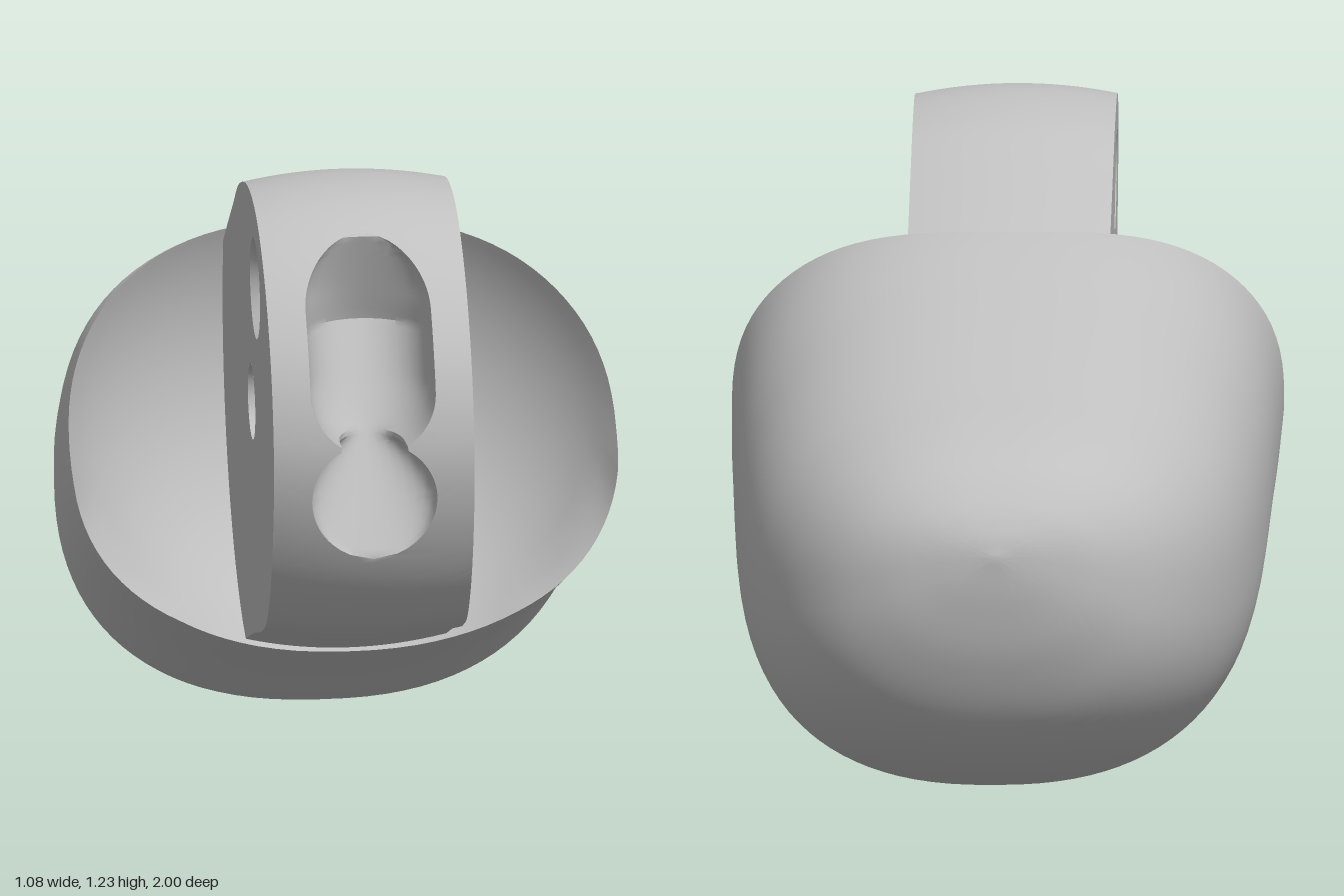
import * as THREE from 'three';
import { toCreasedNormals } from 'three/addons/utils/BufferGeometryUtils.js';

const W = 0.197; // half width of the hinge tongue

// slight twist of the whole part
function skew(geo) {
  const p = geo.attributes.position;
  for (let i = 0; i < p.count; i++) {
    p.setX(i, p.getX(i) + 0.01 - 0.04 * p.getZ(i) - 0.02 * p.getY(i));
  }
  return geo;
}

// surface from a grid of points f(i, j)
function grid(nu, nv, f) {
  const pos = [], idx = [];
  for (let i = 0; i <= nu; i++) for (let j = 0; j <= nv; j++) pos.push(...f(i, j));
  for (let i = 0; i < nu; i++) {
    for (let j = 0; j < nv; j++) {
      const a = i * (nv + 1) + j, b = a + nv + 1;
      idx.push(a, b, a + 1, b, b + 1, a + 1);
    }
  }
  const geo = new THREE.BufferGeometry();
  geo.setAttribute('position', new THREE.Float32BufferAttribute(pos, 3));
  geo.setIndex(idx);
  return geo;
}

// fingertip body sections: z, top, bottom, half width
const sections = [
  [-1, 0.52, 0.52, 0], [-0.985, 0.57, 0.42, 0.11], [-0.95, 0.625, 0.3, 0.22],
  [-0.88, 0.69, 0.175, 0.32], [-0.77, 0.745, 0.085, 0.4], [-0.62, 0.8, 0.025, 0.46],
  [-0.45, 0.865, 0.003, 0.495], [-0.25, 0.94, 0.02, 0.515], [0, 1.03, 0.125, 0.528],
  [0.2, 1.06, 0.195, 0.535], [0.5, 1.08, 0.3, 0.54],
];
const heights = new THREE.CatmullRomCurve3(
  sections.map(([z, t, b]) => new THREE.Vector3(z, t, b)), false, 'catmullrom');
const widths = new THREE.CatmullRomCurve3(
  sections.map(([z, , , w]) => new THREE.Vector3(z, w, 0)), false, 'catmullrom');

function bodyPoint(u, angle) {
  const h = heights.getPoint(u), w = widths.getPoint(u).y;
  const c = Math.cos(angle), s = -Math.sin(angle), e = 2 / 2.4;
  return [
    w * Math.sign(c) * Math.abs(c) ** e,
    (h.y + h.z) / 2 + (h.y - h.z) / 2 * Math.sign(s) * Math.abs(s) ** e,
    h.x,
  ];
}

// spherical socket that hollows the front of the body
function socketZ(x, y) {
  return Math.min(0.37, 0.487 - Math.sqrt(Math.max(0, 0.328 - x * x - (y - 0.766) ** 2)));
}

// width and floor of the cable slot in the tongue's front
function slotHalf(y) {
  const lobe = (lo, hi) => {
    const d = y < lo ? lo - y : y > hi ? y - hi : 0;
    return Math.sqrt(Math.max(0, 0.123 ** 2 - d * d));
  };
  return Math.max(lobe(0.667, 0.667), lobe(0.885, 1.04));
}
function slotFloor(y) {
  return y < 0.98 ? 0.93 - 0.21 * (y - 0.54) / 0.44 : 0.72 + 0.08 * (y - 0.98) / 0.185;
}

export function createModel() {
  const model = new THREE.Group();
  const grey = new THREE.MeshStandardMaterial({ color: 0xbfbfbf, side: THREE.DoubleSide });
  grey.name = 'grey plastic';
  const add = (name, geo, crease = 0.6) => {
    const mesh = new THREE.Mesh(toCreasedNormals(skew(geo), crease), grey);
    mesh.name = name;
    model.add(mesh);
  };

  // body: each lengthwise line runs from the tip to the socket's edge
  const AROUND = 96, ALONG = 60, ends = [];
  const angleOf = (j) => (j % AROUND) / AROUND * Math.PI * 2;
  for (let j = 0; j <= AROUND; j++) {
    let lo = 0.5, hi = 1;
    for (let k = 0; k < 30; k++) {
      const mid = (lo + hi) / 2, [x, y, z] = bodyPoint(mid, angleOf(j));
      if (z < socketZ(x, y)) lo = mid; else hi = mid;
    }
    ends.push(lo);
  }
  add('fingertipBody', grid(ALONG, AROUND, (i, j) => bodyPoint(ends[j] * i / ALONG, angleOf(j))), 0.9);
  add('knuckleSocket', grid(20, AROUND, (i, j) => {
    const [ex, ey] = bodyPoint(ends[j], angleOf(j)), k = 1 - i / 20;
    const x = ex * k, y = 0.75 + (ey - 0.75) * k;
    return [x, y, socketZ(x, y)];
  }), 0.9);

  // tongue outline in z, y, from the buried top round the front to the buried underside
  const outline = new THREE.SplineCurve([
    [-0.15, 0.93], [0.02, 1.025], [0.2, 1.12], [0.35, 1.195], [0.54, 1.23], [0.72, 1.2],
    [0.87, 1.1], [0.97, 0.95], [1, 0.79], [0.97, 0.64], [0.89, 0.49], [0.78, 0.38],
    [0.66, 0.33], [0.5, 0.293], [0.34, 0.25], [0.1, 0.18],
  ].map(([z, y]) => new THREE.Vector2(z, y)));
  const ROWS = 240;
  const rim = [];
  for (let i = 0; i <= ROWS; i++) {
    const p = outline.getPoint(i / ROWS), t = outline.getTangent(i / ROWS);
    rim.push({ z: p.x, y: p.y, nz: -t.y, ny: t.x });
  }
  const rimAt = (r, x) => {
    const inset = 0.02 * (x / W) ** 2; // crowned rim
    return [x, r.y - r.ny * inset, r.z - r.nz * inset];
  };

  // crowned rim with the slot sunk into its front
  add('tongueRim', grid(ROWS, 32, (i, j) => {
    const r = rim[i], h = r.z > 0.7 ? slotHalf(r.y) : 0;
    if (j <= 8) return rimAt(r, -W + (W - h) * j / 8);
    if (j >= 24) return rimAt(r, h + (W - h) * (j - 24) / 8);
    const a = (j - 8) / 16 * Math.PI;
    const p = rimAt(r, -h * Math.cos(a));
    if (h > 0) p[2] -= Math.max(0, p[2] - slotFloor(r.y)) * Math.sin(a) ** 0.6;
    return p;
  }));

  // flat sides with pin holes
  const pin = { z: 0.53, y: 0.78, r: 0.075 }, cord = { z: 0.65, y: 1.03, r: 0.055 };
  for (const side of [-1, 1]) {
    const shape = new THREE.Shape(rim.map((r) => {
      const [, y, z] = rimAt(r, W);
      return new THREE.Vector2(z, y);
    }));
    for (const hole of [pin, cord]) {
      const radius = hole === cord && side < 0 ? 0.1 : hole.r;
      shape.holes.push(new THREE.Path().absarc(hole.z, hole.y, radius, 0, Math.PI * 2, true));
    }
    const geo = new THREE.ShapeGeometry(shape, 24).rotateY(-Math.PI / 2).translate(side * W, 0, 0);
    if (side > 0) geo.index.array.reverse();
    add(side > 0 ? 'tongueLeftSide' : 'tongueRightSide', geo);
  }

  // hole walls, seen from inside
  const bore = (name, hole, x0, x1, r0, r1) => {
    const geo = new THREE.CylinderGeometry(r1, r0, x1 - x0, 32, 1, true)
      .rotateZ(-Math.PI / 2).translate((x0 + x1) / 2, hole.y, hole.z);
    geo.index.array.reverse();
    add(name, geo);
  };
  bore('pinHole', pin, -W, W, pin.r, pin.r);
  bore('cordHole', cord, -W + 0.06, W, cord.r, cord.r);
  bore('cordCountersink', cord, -W, -W + 0.06, 0.1, cord.r);

  return model;
}
